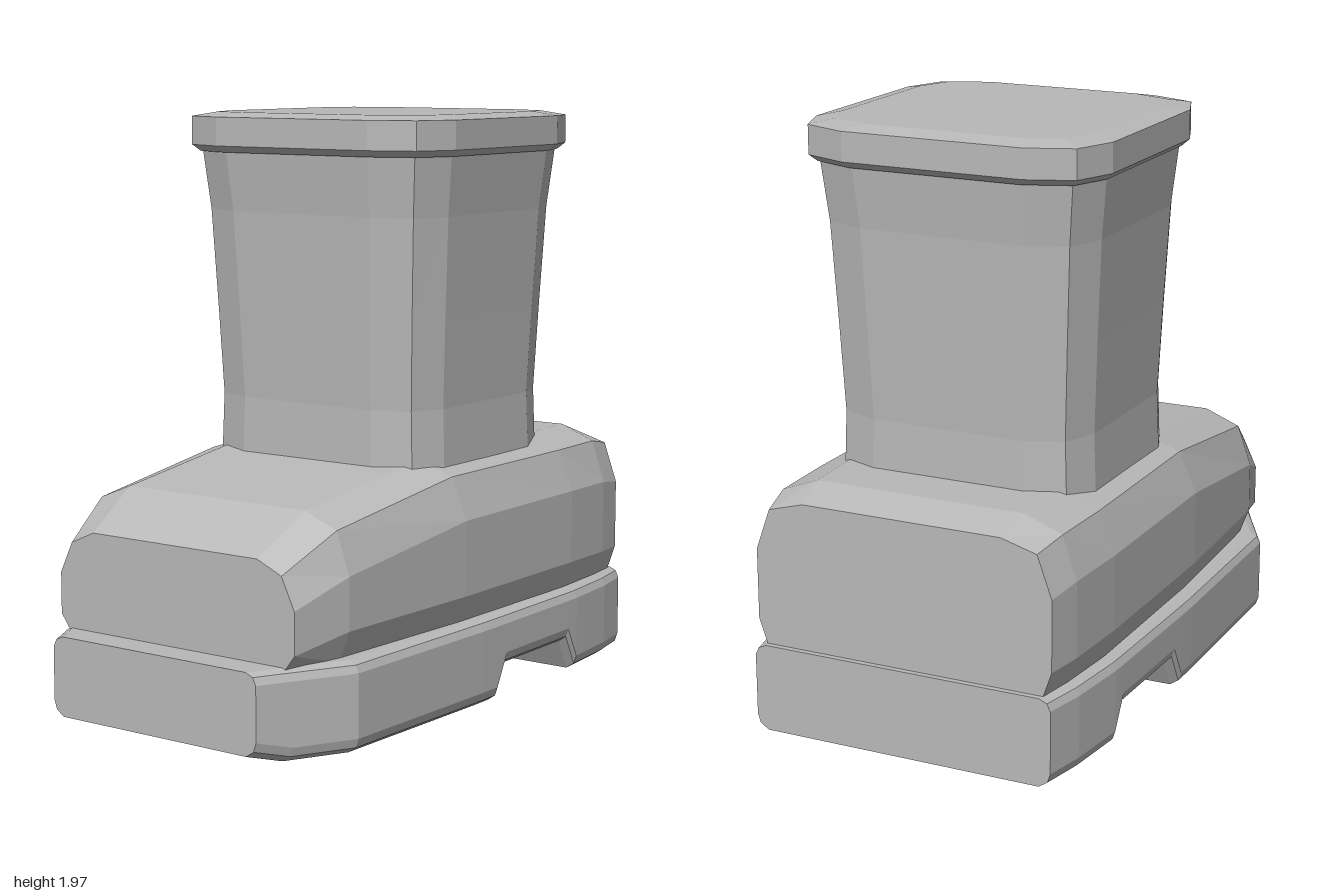
import * as THREE from 'three';

// Skin a list of equal-length rings (counter-clockwise about the loft axis) and cap both ends
function loft(rings) {
  const n = rings[0].length, last = (rings.length - 1) * n, index = [];
  for (let i = 0; i < rings.length - 1; i++) {
    for (let j = 0; j < n; j++) {
      const a = i * n + j, b = i * n + (j + 1) % n;
      index.push(a, b, b + n, a, b + n, a + n);
    }
  }
  for (let j = 1; j < n - 1; j++) {
    index.push(0, j + 1, j, last, last + j, last + j + 1);
  }
  const g = new THREE.BufferGeometry();
  g.setAttribute('position', new THREE.Float32BufferAttribute(rings.flat(2), 3));
  g.setIndex(index);
  const flat = g.toNonIndexed();
  flat.computeVertexNormals();
  return flat;
}

// Upright cross-section at depth z: right half from bottom to top, mirrored to the left
function section(z, half) {
  const right = half.map(([x, y]) => [x, y, z]);
  return [...right, ...right.map(([x, y]) => [-x, y, z]).reverse()];
}

// Rounded-square ring at height y with half-width w and half-depth d
const CORNER = [[0.6, 1], [0.895, 0.885], [1, 0.605]];
function roundedRing([y, w, d]) {
  const zc = -0.233;
  const q = CORNER.map(([x, z]) => [x * w, z * d]);
  const back = q.map(([x, z]) => [x, -z]).reverse();
  const side = [...q, ...back];
  return [...side, ...side.map(([x, z]) => [-x, z]).reverse()]
    .map(([x, z]) => [x, y, zc + z]);
}

export function createModel() {
  const group = new THREE.Group();
  group.name = 'boot';
  const material = new THREE.MeshStandardMaterial({ color: 0xb8b8b8 });
  material.name = 'grey';
  material.flatShading = true;
  const add = (name, geometry) => {
    const mesh = new THREE.Mesh(geometry, material);
    mesh.name = name;
    group.add(mesh);
  };

  // Sole with arch notch: z, half-width, underside height
  const soleStations = [
    [-1, 0.53, 0], [-0.85, 0.56, 0], [-0.62, 0.583, 0], [-0.56, 0.585, 0.11],
    [-0.15, 0.593, 0.11], [-0.09, 0.594, 0], [0, 0.595, 0], [0.69, 0.583, 0],
    [0.89, 0.477, 0], [1, 0.42, 0.03],
  ];
  add('sole', loft(soleStations.map(([z, w, b]) => section(z, [
    [w - 0.04, b], [w - 0.01, b + 0.02], [w, b + 0.05],
    [w, 0.26], [w - 0.012, 0.285], [w - 0.04, 0.297],
  ]))));

  // Foot: z, then right-half profile from bottom to top
  add('foot', loft([
    section(-0.98, [[0.49, 0.28], [0.525, 0.38], [0.525, 0.62], [0.475, 0.76], [0.35, 0.795]]),
    section(-0.85, [[0.51, 0.28], [0.55, 0.385], [0.55, 0.64], [0.5, 0.785], [0.37, 0.835]]),
    section(-0.6, [[0.53, 0.28], [0.568, 0.39], [0.568, 0.645], [0.51, 0.785], [0.38, 0.835]]),
    section(0.07, [[0.53, 0.28], [0.572, 0.39], [0.572, 0.645], [0.51, 0.785], [0.38, 0.828]]),
    section(0.68, [[0.5, 0.28], [0.54, 0.385], [0.54, 0.56], [0.49, 0.7], [0.365, 0.75]]),
    section(0.89, [[0.44, 0.28], [0.485, 0.34], [0.485, 0.48], [0.435, 0.585], [0.34, 0.627]]),
  ]));

  // Flared leg shaft: height, half-width, half-depth
  add('shaft', loft([
    [0.76, 0.452, 0.43], [1, 0.443, 0.425], [1.3, 0.456, 0.441],
    [1.64, 0.473, 0.46], [1.85, 0.495, 0.484],
  ].map(roundedRing)));

  // Cuff with a closed, slightly domed top
  add('cuff', loft([
    [1.838, 0.5, 0.49], [1.86, 0.523, 0.514], [1.957, 0.523, 0.514], [1.972, 0.45, 0.44],
  ].map(roundedRing)));

  return group;
}
